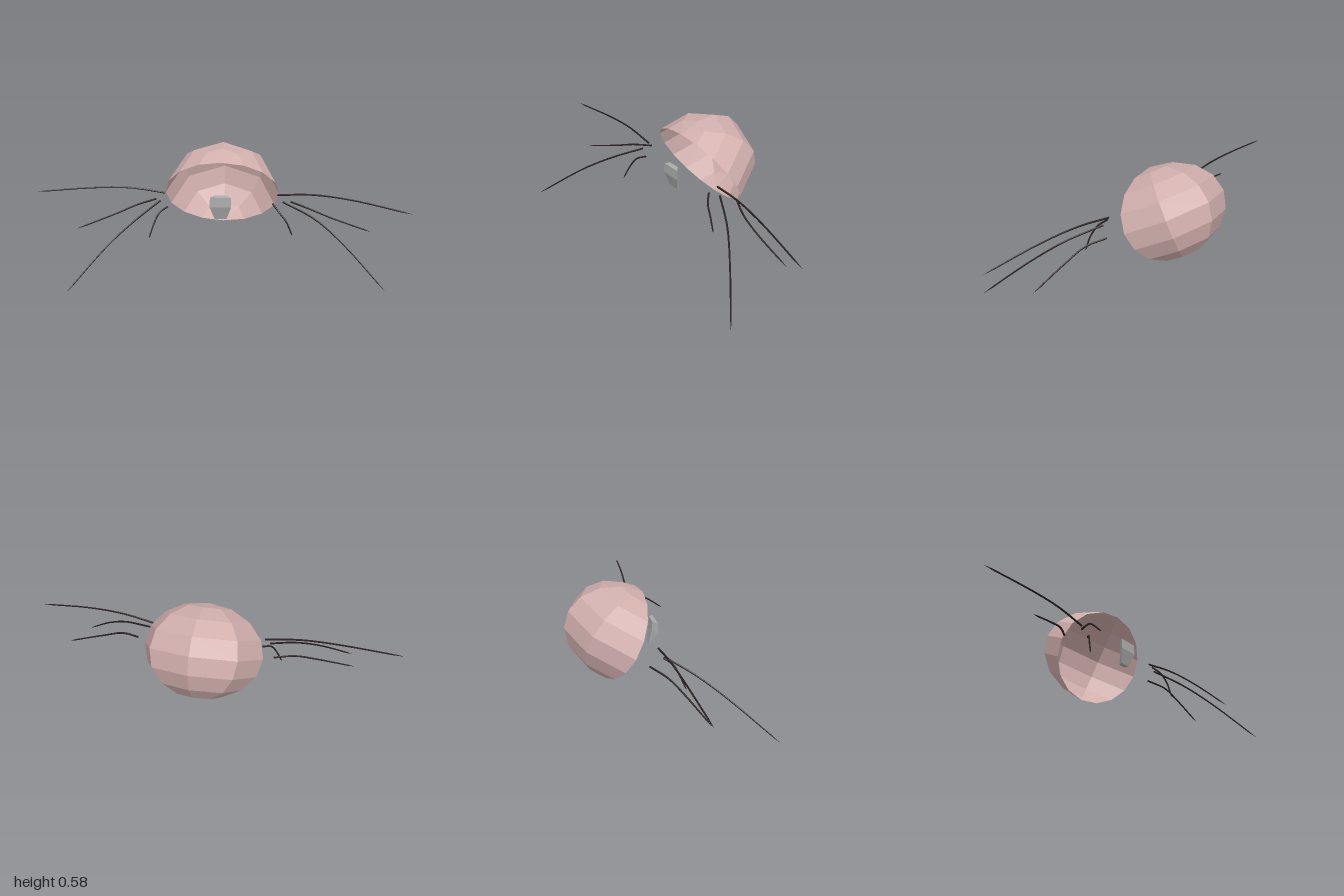
import * as THREE from 'three';

const material = (color) =>
  new THREE.MeshStandardMaterial({ color, flatShading: true, side: THREE.DoubleSide });

// Thin leg that follows a few joints and narrows to a point
function makeLeg(name, joints, mat) {
  const curve = new THREE.CatmullRomCurve3(joints.map((p) => new THREE.Vector3(...p)), false, 'centripetal');
  const segments = 12, sides = 5;
  const geo = new THREE.TubeGeometry(curve, segments, 0.0055, sides, false);
  const pos = geo.attributes.position;
  const v = new THREE.Vector3();
  for (let i = 0; i <= segments; i++) {
    const centre = curve.getPointAt(i / segments);
    const scale = i === segments ? 0.1 : 1 - 0.3 * (i / segments);
    for (let j = 0; j <= sides; j++) {
      const k = i * (sides + 1) + j;
      v.fromBufferAttribute(pos, k).sub(centre).multiplyScalar(scale).add(centre);
      pos.setXYZ(k, v.x, v.y, v.z);
    }
  }
  const leg = new THREE.Mesh(geo, mat);
  leg.name = name;
  return leg;
}

// Small wedge lofted through three trapezoid sections, wide at the front
function makeMouthpart() {
  // [y front, z front, half width front, y back, z back, half width back]
  const sections = [
    [0.246, 0.02, 0.032, 0.244, -0.002, 0.02],
    [0.32, 0.041, 0.057, 0.32, 0.01, 0.032],
    [0.374, 0.039, 0.055, 0.378, 0.015, 0.032],
  ];
  const verts = [];
  for (const [yf, zf, wf, yb, zb, wb] of sections) {
    verts.push(-wf, yf, zf, wf, yf, zf, wb, yb, zb, -wb, yb, zb);
  }
  const index = [0, 2, 1, 0, 3, 2, 8, 9, 10, 8, 10, 11];
  for (let s = 0; s < 2; s++) {
    for (let i = 0; i < 4; i++) {
      const a = s * 4 + i, b = s * 4 + ((i + 1) % 4);
      index.push(a, b, b + 4, a, b + 4, a + 4);
    }
  }
  const geo = new THREE.BufferGeometry();
  geo.setAttribute('position', new THREE.Float32BufferAttribute(verts, 3));
  geo.setIndex(index);
  geo.computeVertexNormals();
  const mesh = new THREE.Mesh(geo, material(0xaaaaaa));
  mesh.name = 'mouthpart';
  return mesh;
}

export function createModel() {
  const group = new THREE.Group();
  group.name = 'shelledCreature';

  // Open half-sphere shell, tipped back, with its poles on the rim
  const shell = new THREE.Mesh(
    new THREE.SphereGeometry(1, 4, 8, Math.PI, Math.PI),
    material(0xd0aeac)
  );
  shell.name = 'shell';
  shell.scale.set(0.314, 0.2475, 0.312);
  shell.rotation.x = 0.52;
  shell.position.set(0, 0.33, -0.152);
  group.add(shell);

  group.add(makeMouthpart());

  // Legs, each side posed separately
  const legMat = material(0x2a2022);
  const legs = {
    leftUpperLeg: [[0.3, 0.37, -0.03], [0.48, 0.385, -0.005], [0.68, 0.372, 0.025], [0.993, 0.318, 0.073]],
    leftBackLeg: [[0.375, 0.31, -0.092], [0.48, 0.287, -0.046], [0.59, 0.245, -0.034], [0.803, 0.17, -0.033]],
    leftLongLeg: [[0.33, 0.335, -0.02], [0.5, 0.277, 0.075], [0.645, 0.18, 0.18], [0.84, 0.008, 0.336]],
    leftShortLeg: [[0.275, 0.335, 0.005], [0.31, 0.3, 0.04], [0.35, 0.25, 0.055], [0.383, 0.175, 0.062]],
    rightUpperLeg: [[-0.3, 0.37, -0.033], [-0.48, 0.396, -0.03], [-0.66, 0.396, -0.024], [-0.998, 0.37, -0.008]],
    rightBackLeg: [[-0.36, 0.31, -0.095], [-0.46, 0.295, -0.035], [-0.56, 0.262, 0.01], [-0.762, 0.198, 0.08]],
    rightLongLeg: [[-0.325, 0.333, -0.01], [-0.44, 0.27, 0.118], [-0.56, 0.185, 0.243], [-0.74, 0.013, 0.446]],
    rightShortLeg: [[-0.285, 0.302, -0.003], [-0.325, 0.282, 0.035], [-0.352, 0.23, 0.062], [-0.378, 0.153, 0.092]],
  };
  for (const [name, joints] of Object.entries(legs)) group.add(makeLeg(name, joints, legMat));

  return group;
}
